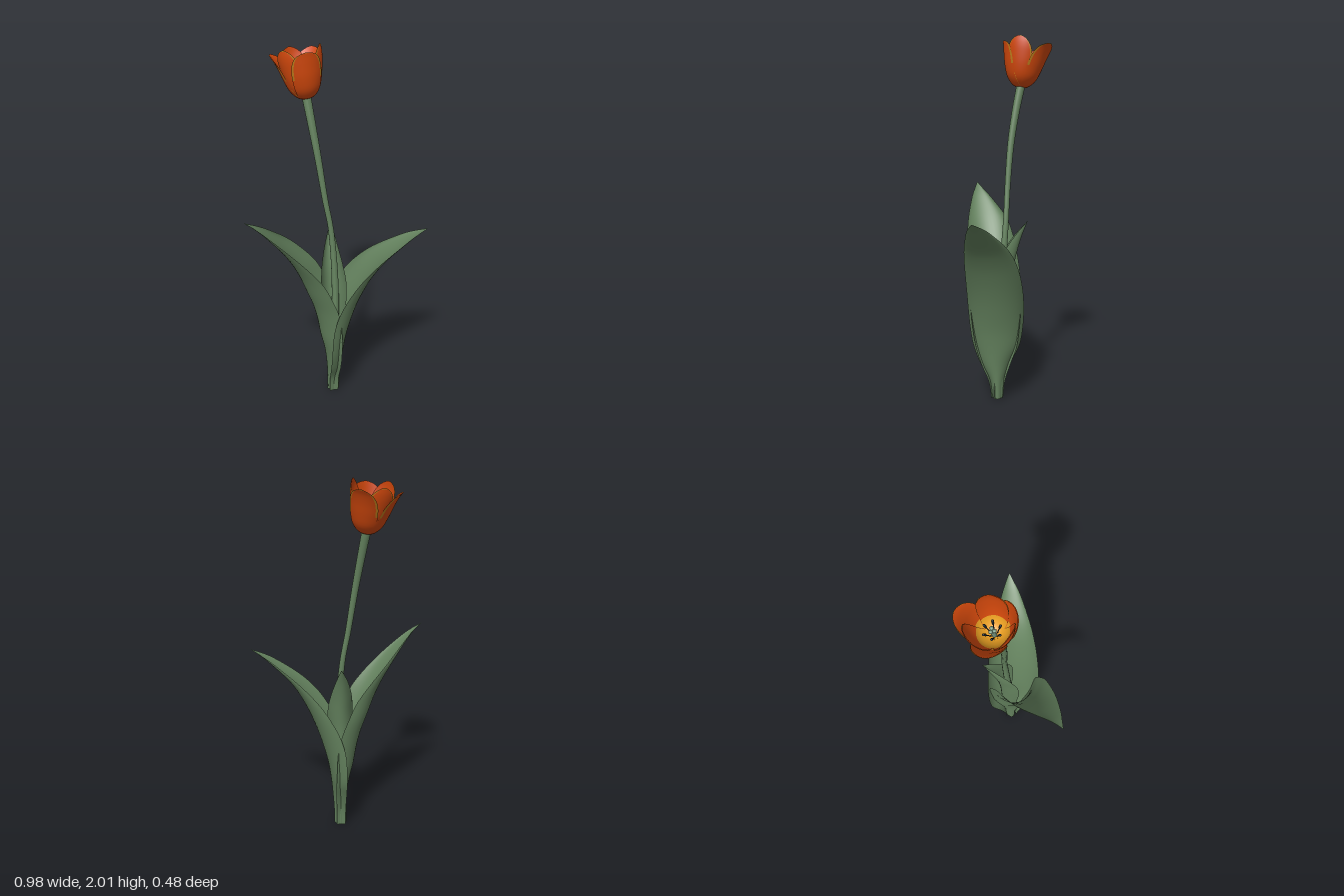
import * as THREE from 'three';

const mat = (name, color) => new THREE.MeshStandardMaterial({ name, color, side: THREE.DoubleSide });

// Surface from a rule: point(u, v) -> [x, y, z]; paint(u, v) -> material index per cell
function surface(us, vs, point, paint = () => 0) {
  const pos = [], cells = [[], []], n = us.length;
  for (const v of vs) for (const u of us) pos.push(...point(u, v));
  for (let j = 0; j < vs.length - 1; j++) {
    for (let i = 0; i < n - 1; i++) {
      const a = j * n + i, b = a + 1, c = a + n, d = c + 1;
      const k = paint((us[i] + us[i + 1]) / 2, (vs[j] + vs[j + 1]) / 2);
      cells[k].push(a, c, b, b, c, d);
    }
  }
  const geo = new THREE.BufferGeometry();
  geo.setAttribute('position', new THREE.Float32BufferAttribute(pos, 3));
  geo.setIndex([...cells[0], ...cells[1]]);
  geo.addGroup(0, cells[0].length, 0);
  geo.addGroup(cells[0].length, cells[1].length, 1);
  geo.computeVertexNormals();
  return geo;
}

const range = (a, b, n) => Array.from({ length: n + 1 }, (_, i) => a + (b - a) * i / n);
const spline = pts => new THREE.CatmullRomCurve3(pts.map(p => new THREE.Vector3(...p)), false, 'catmullrom', 0.5);

// Cupped leaf; rows are [height, outward, cup depth, edge min, edge max]
function leafGeometry(rows, place) {
  const spine = spline(rows.map(r => [r[0], r[1], r[2]]));
  const edges = spline(rows.map(r => [r[3], r[4], 0]));
  const bend = 1.25;
  return surface(range(-1, 1, 16), range(0, 1, 48), (s, t) => {
    const { x: y, y: out, z: depth } = spine.getPoint(t);
    const e = edges.getPoint(t);
    const side = (e.x + e.y) / 2 + (e.y - e.x) / 2 * Math.sin(s * bend) / Math.sin(bend);
    return place(out - depth * (1 - Math.cos(s * bend)) / (1 - Math.cos(bend)), y, side);
  });
}

// Petal wrapped round the flower axis; profile is [radius, height]
function petalGeometry(profile, angle, halfWidth, inset, paint) {
  const curve = spline(profile.map(p => [p[0], p[1], 0]));
  const us = [-1, -0.93, -0.85, ...range(-0.7, 0.7, 8), 0.85, 0.93, 1];
  const vs = range(0, 1, 28).map(t => 1 - (1 - t) ** 1.4);
  return surface(us, vs, (s, t) => {
    const p = curve.getPoint(t);
    const w = halfWidth * Math.max(0, Math.sin(Math.PI * (0.1 + 0.9 * t) ** 1.4)) ** 0.6;
    const a = angle + s * w / Math.max(p.x, 0.022);
    const r = p.x - inset;
    return [r * Math.cos(a), p.y + inset * 0.3, r * Math.sin(a)];
  }, paint);
}

export function createModel() {
  const model = new THREE.Group();
  const green = mat('leafGreen', 0x64825e);
  const orange = mat('petalOrange', 0xd2480c);
  const gold = mat('petalRim', 0xbd7d1c);
  const yellow = mat('petalBase', 0xeba022);
  const dark = mat('stamenDark', 0x17222a);
  const pale = mat('pistilGreen', 0x7c9c84);
  const add = (parent, name, geo, material) => {
    const mesh = new THREE.Mesh(geo, material);
    mesh.name = name;
    parent.add(mesh);
    return mesh;
  };

  // Stem: a tube with a varying radius
  const path = spline([[-0.01, 0, 0.062], [0, 0.35, 0.055], [0.005, 0.7, 0.035], [-0.012, 1, 0.015],
    [-0.045, 1.2, 0.006], [-0.077, 1.42, -0.01], [-0.105, 1.6, -0.036], [-0.128, 1.745, -0.064]]);
  const rings = 60, sides = 14;
  const stem = new THREE.TubeGeometry(path, rings, 1, sides);
  const sp = stem.attributes.position, v = new THREE.Vector3();
  for (let i = 0; i < sp.count; i++) {
    const t = Math.floor(i / (sides + 1)) / rings;
    const r = t < 0.6 ? 0.027 - 0.02 * t : 0.015 + 0.009 * ((t - 0.6) / 0.4) ** 1.5;
    const c = path.getPointAt(t);
    v.fromBufferAttribute(sp, i).sub(c).multiplyScalar(r).add(c);
    sp.setXYZ(i, v.x, v.y, v.z);
  }
  stem.computeVertexNormals();
  add(model, 'stem', stem, green);
  const cut = add(model, 'stemEnd', new THREE.CircleGeometry(0.03, 16), green);
  cut.rotation.x = Math.PI / 2;
  cut.position.set(-0.01, 0.002, 0.062);

  // Leaves
  add(model, 'leftLeaf', leafGeometry([
    [0, 0.025, 0.06, 0.03, 0.095], [0.1, 0.028, 0.065, 0.02, 0.112], [0.2, 0.035, 0.073, -0.015, 0.165],
    [0.3, 0.046, 0.083, -0.062, 0.2], [0.4, 0.062, 0.097, -0.08, 0.217], [0.5, 0.088, 0.115, -0.086, 0.226],
    [0.6, 0.12, 0.12, -0.083, 0.231], [0.7, 0.16, 0.11, -0.07, 0.234], [0.8, 0.21, 0.09, -0.045, 0.234],
    [0.9, 0.28, 0.058, 0, 0.226], [1, 0.39, 0.03, 0.08, 0.203], [1.04, 0.445, 0.013, 0.125, 0.183],
    [1.065, 0.487, 0, 0.164, 0.166]], (o, y, s) => [o, y, s]), green);
  add(model, 'rightLeaf', leafGeometry([
    [0, 0.045, 0.06, 0.03, 0.095], [0.1, 0.045, 0.06, 0.02, 0.11], [0.2, 0.049, 0.07, -0.01, 0.15],
    [0.3, 0.062, 0.085, -0.045, 0.18], [0.4, 0.085, 0.105, -0.06, 0.197], [0.5, 0.102, 0.118, -0.068, 0.208],
    [0.6, 0.127, 0.125, -0.07, 0.216], [0.7, 0.165, 0.125, -0.065, 0.225], [0.8, 0.203, 0.115, -0.05, 0.234],
    [0.9, 0.252, 0.085, -0.025, 0.24], [1, 0.316, 0.053, 0.02, 0.24], [1.1, 0.396, 0.025, 0.11, 0.228],
    [1.15, 0.446, 0.012, 0.165, 0.215], [1.183, 0.488, 0, 0.202, 0.204]], (o, y, s) => [-o, y, s]), green);
  add(model, 'backLeaf', leafGeometry([
    [0, -0.032, 0.05, -0.042, 0.022], [0.2, -0.02, 0.055, -0.05, 0.03], [0.4, -0.002, 0.075, -0.07, 0.045],
    [0.6, 0.008, 0.095, -0.083, 0.06], [0.72, 0.022, 0.098, -0.08, 0.062], [0.82, 0.042, 0.08, -0.07, 0.047],
    [0.92, 0.07, 0.045, -0.043, 0.025], [1.015, 0.105, 0, -0.001, 0.003]], (o, y, s) => [s, y, -o]), green);

  // Flower head, leaning back and to the side
  const flower = new THREE.Group();
  flower.name = 'flower';
  flower.position.set(-0.126, 1.735, -0.062);
  flower.quaternion.setFromUnitVectors(new THREE.Vector3(0, 1, 0), new THREE.Vector3(-0.14, 1, -0.14).normalize());
  model.add(flower);

  const outerProfile = [[0.012, 0], [0.045, 0.012], [0.079, 0.05], [0.102, 0.11], [0.12, 0.17], [0.137, 0.215], [0.154, 0.245]];
  const frontProfile = [[0.012, 0], [0.045, 0.012], [0.079, 0.05], [0.102, 0.11], [0.116, 0.17], [0.125, 0.215], [0.13, 0.238]];
  const innerProfile = [[0.01, 0.003], [0.04, 0.015], [0.072, 0.05], [0.095, 0.11], [0.11, 0.18], [0.115, 0.225], [0.114, 0.262]];
  const rim = (s, t) => (t > 0.5 && Math.abs(s) > 0.85) || t > 0.975 || t < 0.06 ? 1 : 0;
  const petals = [['outerPetal', outerProfile, 200, 0.086], ['outerPetal', outerProfile, 301, 0.086],
    ['outerPetal', frontProfile, 80, 0.086], ['innerPetal', innerProfile, 140, 0.08],
    ['innerPetal', innerProfile, 250, 0.08], ['innerPetal', innerProfile, 20, 0.08]];
  for (const [name, profile, degrees, width] of petals) {
    const a = degrees * Math.PI / 180;
    add(flower, name, petalGeometry(profile, a, width, 0, rim), [orange, gold]);
    // Inner face with its yellow throat
    add(flower, name + 'Lining', petalGeometry(profile, a, width, 0.003, (s, t) => t < 0.36 ? 1 : 0), [orange, yellow]);
  }

  // Pistil with three-lobed stigma
  add(flower, 'pistil', new THREE.CylinderGeometry(0.01, 0.013, 0.085, 10), pale).position.y = 0.045;
  for (let i = 0; i < 3; i++) {
    const a = i * Math.PI * 2 / 3;
    const lobe = add(flower, 'stigmaLobe', new THREE.SphereGeometry(0.01, 10, 8), pale);
    lobe.position.set(0.01 * Math.cos(a), 0.09, 0.01 * Math.sin(a));
  }

  // Stamens
  for (let i = 0; i < 6; i++) {
    const a = i * Math.PI / 3 + 0.3, x = Math.cos(a), z = Math.sin(a);
    const line = new THREE.LineCurve3(new THREE.Vector3(0.016 * x, 0.01, 0.016 * z), new THREE.Vector3(0.036 * x, 0.075, 0.036 * z));
    add(flower, 'filament', new THREE.TubeGeometry(line, 1, 0.0025, 6), dark);
    const anther = add(flower, 'anther', new THREE.CapsuleGeometry(0.006, 0.022, 4, 8), dark);
    anther.position.set(0.039 * x, 0.086, 0.039 * z);
    anther.rotation.set(0.3 * z, 0, -0.3 * x);
  }
  return model;
}
